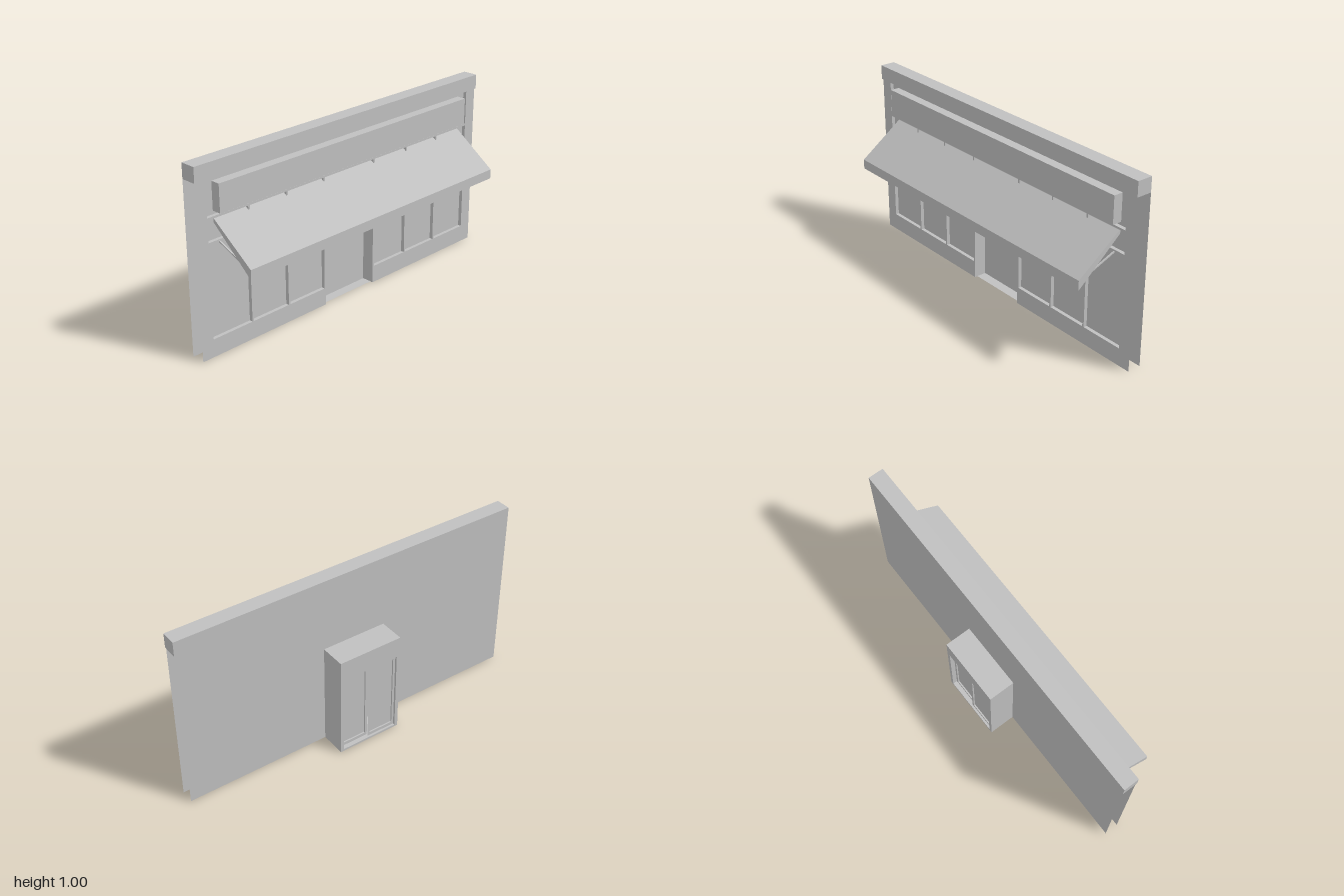
import * as THREE from 'three';

const grey = new THREE.MeshStandardMaterial({ color: 0xbfbfbf, side: THREE.DoubleSide });
grey.name = 'plain grey';

const rect = (x0, x1, y0, y1) => [[x0, y0], [x1, y0], [x1, y1], [x0, y1]];
const toPts = (pts) => pts.map(([x, y]) => new THREE.Vector2(x, y));

function add(parent, name, geometry, x = 0, y = 0, z = 0) {
  const mesh = new THREE.Mesh(geometry, grey);
  mesh.name = name;
  mesh.position.set(x, y, z);
  parent.add(mesh);
  return mesh;
}

// Flat sheet facing z, with optional holes
function sheet(outline, holes = []) {
  const shape = new THREE.Shape(toPts(outline));
  holes.forEach((h) => shape.holes.push(new THREE.Path(toPts(h))));
  return new THREE.ShapeGeometry(shape);
}

// Strip of quads swept along z from a polyline
function wall(pts, z0, z1, closed = false) {
  const pos = [];
  const count = closed ? pts.length : pts.length - 1;
  for (let i = 0; i < count; i++) {
    const [ax, ay] = pts[i];
    const [bx, by] = pts[(i + 1) % pts.length];
    pos.push(ax, ay, z0, ax, ay, z1, bx, by, z1, ax, ay, z0, bx, by, z1, bx, by, z0);
  }
  const g = new THREE.BufferGeometry();
  g.setAttribute('position', new THREE.Float32BufferAttribute(pos, 3));
  g.computeVertexNormals();
  return g;
}

// Reveal walls and the pane at the bottom of a recess
function recess(parent, name, r, zFront, zBack) {
  add(parent, name + 'Reveal', wall(r, zFront, zBack, true));
  add(parent, name + 'Pane', sheet(r), 0, 0, zBack);
}

export function createModel() {
  const model = new THREE.Group();
  model.name = 'shopFront';
  const zFront = -0.005, zPane = -0.025, zBack = -0.08, zRear = -0.225;

  // Openings in the front wall
  const signRecess = rect(-0.93, 0.93, 0.727, 0.918);
  const columns = [[0.187, 0.43], [0.44, 0.674], [0.684, 0.93]];
  const windows = [], transoms = [rect(-0.177, 0.177, 0.602, 0.716)];
  for (const [a, b] of columns) {
    for (const [x0, x1] of [[a, b], [-b, -a]]) {
      windows.push(rect(x0, x1, 0.096, 0.588));
      transoms.push(rect(x0, x1, 0.602, 0.716));
    }
  }

  // Front wall with a notch for the entrance
  const doorway = [[-0.177, 0], [-0.177, 0.588], [0.177, 0.588], [0.177, 0]];
  const outline = [[-1, 0], ...doorway, [1, 0], [1, 0.92], [-1, 0.92]];
  add(model, 'frontWall', sheet(outline, [signRecess, ...windows, ...transoms]), 0, 0, zFront);
  recess(model, 'signRecess', signRecess, zFront, zPane);
  windows.forEach((r) => recess(model, 'window', r, zFront, zPane));
  transoms.forEach((r) => recess(model, 'transom', r, zFront, zPane));

  // Back wall, inner returns and cornice
  add(model, 'backWall', sheet(rect(-1, 1, 0, 1)), 0, 0, zBack);
  for (const s of [-1, 1]) {
    add(model, 'sideReturn', wall([[0.93 * s, 0], [0.93 * s, 0.92]], zPane, zBack));
  }
  add(model, 'cornice', new THREE.BoxGeometry(2, 0.08, 0.085), 0, 0.96, -0.0375);

  // Sign board
  add(model, 'signBoard', new THREE.BoxGeometry(1.76, 0.148, 0.052), 0, 0.819, 0.001);

  // Entrance jambs, inner panel and floor
  add(model, 'entranceJambs', wall(doorway, zFront, -0.075));
  add(model, 'entrancePanel', sheet(doorway), 0, 0, -0.075);
  add(model, 'entranceFloor', wall([[-0.185, 0.001], [0.185, 0.001]], -0.02, zRear));

  // Rear porch
  const porch = new THREE.Group();
  porch.name = 'rearPorch';
  model.add(porch);
  const opening = rect(-0.166, 0.166, 0.012, 0.475);
  add(porch, 'porchShell', wall([[-0.185, 0], [-0.185, 0.592], [0.185, 0.592], [0.185, 0]], zBack, zRear));
  add(porch, 'porchRearWall', sheet(rect(-0.185, 0.185, 0, 0.592), [opening]), 0, 0, zRear);
  add(porch, 'rearDoorReveal', wall(opening, zRear, zRear + 0.025, true));

  // Pair of sliding doors, one set deeper than the other
  for (const [x0, x1, depth] of [[0, 0.166, 0.025], [-0.166, 0.004, 0.012]]) {
    const z = zRear + depth;
    const leaf = rect(x0, x1, 0.012, 0.475);
    const glass = rect(x0 + 0.013, x1 - 0.013, 0.03, 0.46);
    add(porch, 'rearDoorFrame', sheet(leaf, [glass]), 0, 0, z);
    recess(porch, 'rearDoor', glass, z, z + 0.008);
  }

  // Awning: sloped top with a valance, end panels and stay arms
  const awning = new THREE.Group();
  awning.name = 'awning';
  model.add(awning);
  const slope = [[-0.023, 0.708], [0.228, 0.527], [0.228, 0.474]];
  add(awning, 'awningTop', wall(slope, -0.88, 0.88)).rotation.y = -Math.PI / 2;
  for (const s of [-1, 1]) {
    add(awning, 'awningEnd', sheet([...slope, [-0.023, 0.686]]), 0.88 * s).rotation.y = -Math.PI / 2;
    const arm = add(awning, 'awningArm', new THREE.BoxGeometry(0.008, 0.006, 0.185), 0.865 * s, 0.565, 0.065);
    arm.rotation.x = Math.atan2(0.065, 0.17);
  }
  return model;
}
